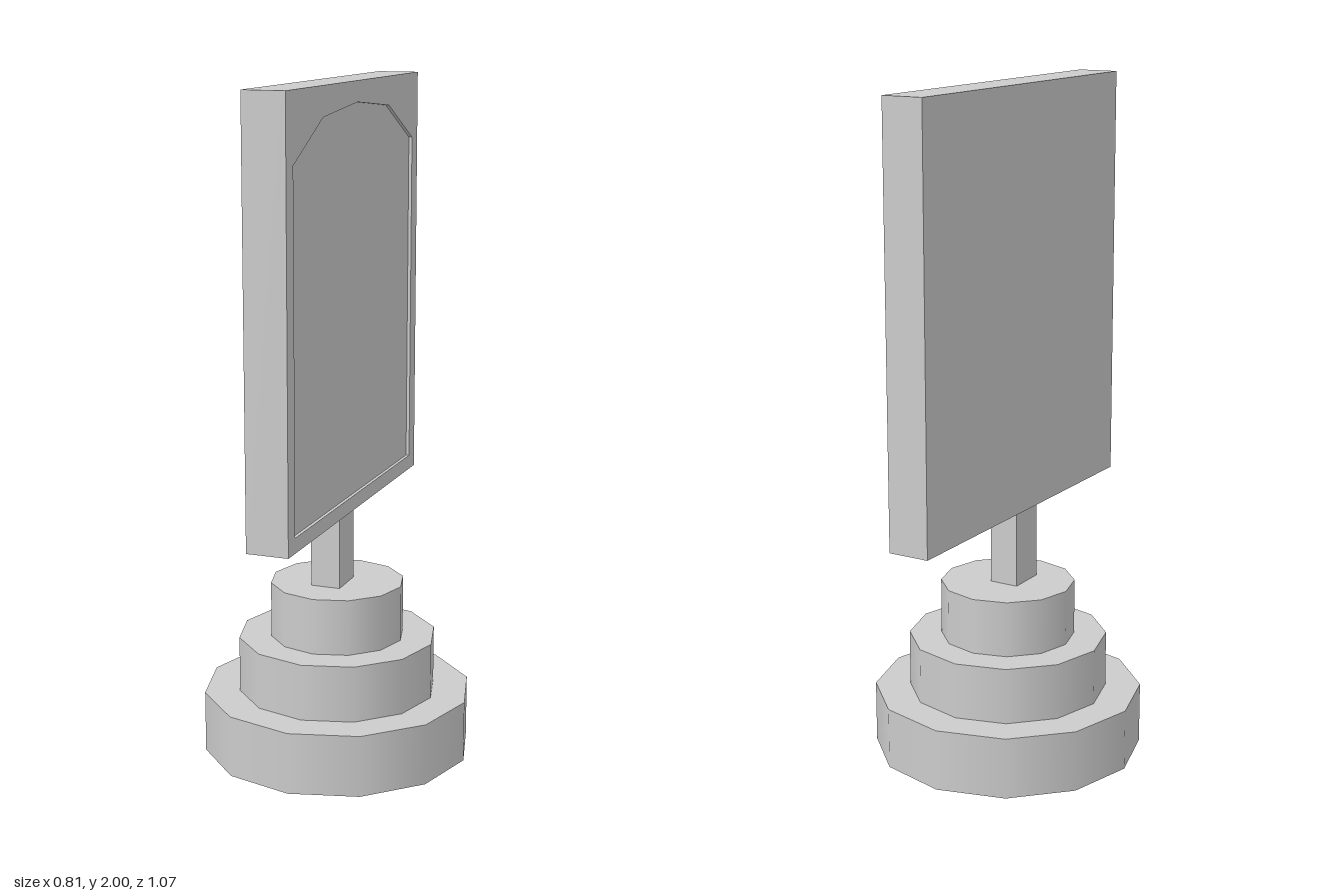
import * as THREE from 'three';

const material = new THREE.MeshStandardMaterial({ color: 0xcccccc });

export function createModel() {
  const model = new THREE.Group();
  model.name = 'signStand';

  const add = (name, geometry, x = 0, y = 0, z = 0) => {
    const mesh = new THREE.Mesh(geometry, material);
    mesh.name = name;
    mesh.position.set(x, y, z);
    model.add(mesh);
    return mesh;
  };

  // Stepped twelve-sided base: radius, bottom, top
  [
    ['baseLower', 0.404, 0, 0.185],
    ['baseMiddle', 0.298, 0.185, 0.354],
    ['baseUpper', 0.201, 0.354, 0.522],
  ].forEach(([name, radius, bottom, top]) => {
    add(name, new THREE.CylinderGeometry(radius, radius, top - bottom, 12), 0, (bottom + top) / 2, 0);
  });

  // Square post, slightly off centre
  add('post', new THREE.BoxGeometry(0.09, 0.232, 0.117), -0.008, 0.638, 0.021);

  // Board: solid back plate plus a thin frame around a shallow arched recess
  const left = -0.064, right = 0.061, recess = 0.01;
  const bottom = 0.752, top = 2, half = 0.533;
  const plate = right - recess - left;
  add('boardPlate', new THREE.BoxGeometry(plate, top - bottom, half * 2),
    left + plate / 2, (bottom + top) / 2, 0);

  const outline = new THREE.Shape([
    [-half, bottom], [half, bottom], [half, top], [-half, top],
  ].map(([u, v]) => new THREE.Vector2(u, v)));
  outline.holes.push(new THREE.Path([
    [-0.483, 0.796], [-0.483, 1.805], [-0.267, 1.915], [0, 1.94],
    [0.267, 1.915], [0.483, 1.805], [0.483, 0.796],
  ].map(([u, v]) => new THREE.Vector2(u, v))));
  const frame = add('boardFrame',
    new THREE.ExtrudeGeometry(outline, { depth: recess, bevelEnabled: false }), right - recess);
  frame.rotation.y = Math.PI / 2;

  return model;
}
